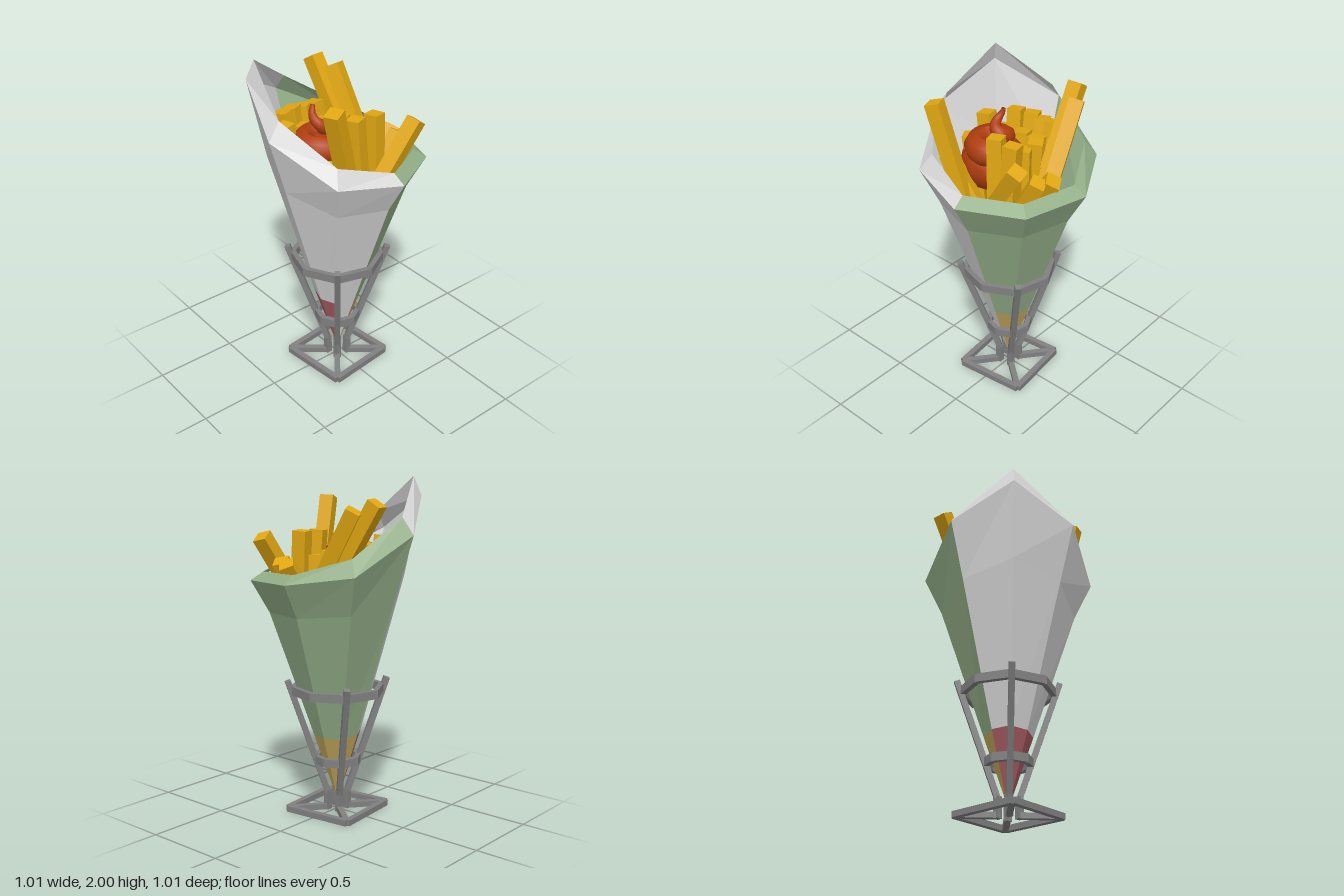
import * as THREE from 'three';

const mat = (name, color, side = THREE.FrontSide) => {
  const m = new THREE.MeshStandardMaterial({ color, side });
  m.name = name;
  return m;
};

// Octagon corner k, slightly turned about the vertical axis
const TURN = -6.2 * Math.PI / 180;
const corner = (k, r, y) => {
  const a = k * Math.PI / 4 + TURN;
  return new THREE.Vector3(r * Math.cos(a), y, r * Math.sin(a));
};

// Square bar between two points
function bar(name, a, b, w, h, material) {
  const mesh = new THREE.Mesh(new THREE.BoxGeometry(w, h, a.distanceTo(b)), material);
  mesh.name = name;
  mesh.position.copy(a).add(b).multiplyScalar(0.5);
  mesh.lookAt(b);
  return mesh;
}

// Flat-sided strips of the paper cone: panels k, rings from..to
function paper(name, rings, panels, from, to, material) {
  const pos = [];
  for (const k of panels) {
    for (let i = from; i < to; i++) {
      const n = (k + 1) % 8;
      const a = rings[i][n], b = rings[i][k], c = rings[i + 1][k], d = rings[i + 1][n];
      for (const p of [a, b, c, a, c, d]) pos.push(p.x, p.y, p.z);
    }
  }
  const g = new THREE.BufferGeometry();
  g.setAttribute('position', new THREE.Float32BufferAttribute(pos, 3));
  g.computeVertexNormals();
  const mesh = new THREE.Mesh(g, material);
  mesh.name = name;
  return mesh;
}

// Tapering spiral for the top of the sauce
function swirlGeometry() {
  const pts = [];
  for (let i = 0; i <= 16; i++) {
    const t = i / 16, a = 0.6 + t * Math.PI * 3.2, r = 0.115 * (1 - t);
    pts.push(new THREE.Vector3(-0.13 + r * Math.cos(a) + 0.02 * t, 1.53 + 0.19 * t * t + 0.02 * t, -0.01 + r * Math.sin(a) - 0.07 * t * t));
  }
  const curve = new THREE.CatmullRomCurve3(pts);
  const seg = 48, sides = 8;
  const g = new THREE.TubeGeometry(curve, seg, 0.08, sides);
  const p = g.attributes.position, v = new THREE.Vector3();
  for (let i = 0; i < p.count; i++) {
    const t = Math.floor(i / (sides + 1)) / seg;
    const c = curve.getPointAt(t);
    v.fromBufferAttribute(p, i).sub(c).multiplyScalar(1 - 0.85 * t * t).add(c);
    p.setXYZ(i, v.x, v.y, v.z);
  }
  g.computeVertexNormals();
  return g;
}

export function createModel() {
  const root = new THREE.Group();
  root.name = 'friesInCone';
  const green = mat('green paper', 0x93ae88, THREE.DoubleSide);
  const white = mat('white paper', 0xd8d8d8, THREE.DoubleSide);
  const tan = mat('tan paper', 0xc0a45a, THREE.DoubleSide);
  const red = mat('red paper', 0xa85c62, THREE.DoubleSide);
  const metal = mat('grey metal', 0x808080);
  const potato = mat('golden potato', 0xe0a712);
  const sauceRed = mat('red sauce', 0xb03e10, THREE.DoubleSide);

  // Paper cone: rim rises to a peak at one back corner, lip folds inward
  const rimY = [1.42, 1.41, 1.42, 1.47, 1.68, 1.885, 1.68, 1.47];
  const lipY = [1.47, 1.46, 1.47, 1.565, 1.78, 2.0, 1.78, 1.565];
  const ring = (f) => rimY.map((y, k) => f(k, y));
  const rings = [
    ring((k) => corner(k, 0.015, 0.1)),
    ring((k, y) => corner(k, 0.142, 0.47 + (y - 1.41) * 0.05)),
    ring((k, y) => corner(k, 0.4, 1.22 + (y - 1.41) * 0.42)),
    ring((k, y) => corner(k, k === 5 ? 0.498 : 0.508, y)),
    ring((k) => corner(k, k === 5 ? 0.45 : 0.433, lipY[k])),
  ];
  const cone = new THREE.Group();
  cone.name = 'paperCone';
  cone.add(
    paper('greenSide', rings, [6, 7, 0, 1], 1, 4, green),
    paper('whiteSide', rings, [2, 3, 4, 5], 1, 4, white),
    paper('tanTip', rings, [6, 7, 0, 1], 0, 1, tan),
    paper('redTip', rings, [3, 4, 5], 0, 1, red),
    paper('whiteTip', rings, [2], 0, 1, white),
  );
  root.add(cone);

  // Metal stand: square base, four bent legs, two octagonal hoops
  const stand = new THREE.Group();
  stand.name = 'stand';
  for (let k = 1; k < 8; k += 2) {
    stand.add(bar('baseEdge', corner(k, 0.3, 0.0175), corner(k + 2, 0.3, 0.0175), 0.035, 0.035, metal));
    stand.add(bar('baseSpoke', corner(k, 0.3, 0.0175), corner(k, 0.05, 0.0175), 0.035, 0.034, metal));
    stand.add(bar('legFoot', corner(k, 0.06, 0), corner(k, 0.06, 0.125), 0.035, 0.035, metal));
    stand.add(bar('leg', corner(k, 0.06, 0.11), corner(k, 0.3, 0.81), 0.035, 0.035, metal));
  }
  for (const [r, y] of [[0.268, 0.75], [0.13, 0.32]]) {
    for (let k = 0; k < 8; k++) {
      stand.add(bar('hoop', corner(k, r, y), corner(k + 1, r, y), 0.03, 0.05, metal));
    }
  }
  root.add(stand);

  // Fries: top x, y, z then bottom x, y, z
  const fries = [
    [0.15, 1.86, -0.41, 0.19, 1.2, 0.0],
    [0.225, 1.82, -0.31, 0.26, 1.2, 0.04],
    [-0.27, 1.87, 0.305, -0.06, 1.1, 0.24],
    [0.32, 1.66, 0.3, 0.01, 1.2, 0.25],
    [0.37, 1.52, 0.06, 0.17, 1.25, 0.06],
    [0.33, 1.53, 0.14, 0.15, 1.2, 0.15],
    [0.02, 1.69, 0.13, 0.05, 1.1, 0.16],
    [0.15, 1.69, 0.14, 0.13, 1.1, 0.18],
    [0.11, 1.6, -0.1, 0.08, 1.1, -0.07],
    [0.09, 1.58, -0.02, 0.1, 1.1, 0.0],
    [0.08, 1.55, 0.08, 0.1, 1.1, 0.07],
    [0.07, 1.63, -0.31, 0.08, 1.1, -0.2],
    [-0.01, 1.63, -0.31, 0.02, 1.1, -0.2],
    [-0.09, 1.64, -0.31, -0.06, 1.1, -0.22],
    [-0.18, 1.65, -0.27, -0.13, 1.1, -0.18],
    [-0.28, 1.65, -0.12, -0.2, 1.1, -0.1],
    [-0.27, 1.57, 0.03, -0.2, 1.1, 0.03],
    [-0.23, 1.56, -0.18, -0.17, 1.1, -0.14],
    [-0.08, 1.56, -0.21, -0.06, 1.1, -0.15],
    [0.04, 1.57, -0.19, 0.03, 1.1, -0.13],
    [-0.27, 1.52, 0.22, -0.03, 1.2, 0.2],
  ];
  const friesGroup = new THREE.Group();
  friesGroup.name = 'fries';
  fries.forEach(([tx, ty, tz, bx, by, bz], i) => {
    const fry = new THREE.Group();
    fry.name = 'fry';
    const top = new THREE.Vector3(tx, ty, tz), bottom = new THREE.Vector3(bx, by, bz);
    const stick = new THREE.Mesh(new THREE.BoxGeometry(0.085, top.distanceTo(bottom), 0.085), potato);
    stick.name = 'fryStick';
    stick.rotation.y = 0.15 + (i * 0.37) % 0.5;
    fry.position.copy(top).add(bottom).multiplyScalar(0.5);
    fry.quaternion.setFromUnitVectors(new THREE.Vector3(0, 1, 0), top.clone().sub(bottom).normalize());
    fry.add(stick);
    friesGroup.add(fry);
  });
  root.add(friesGroup);

  // Sauce: round dollop with a swirl leaning to its tip
  const sauce = new THREE.Group();
  sauce.name = 'sauce';
  const dollop = new THREE.Mesh(new THREE.SphereGeometry(0.195, 12, 8), sauceRed);
  dollop.name = 'dollop';
  dollop.scale.y = 0.85;
  dollop.position.set(-0.135, 1.42, -0.02);
  const swirl = new THREE.Mesh(swirlGeometry(), sauceRed);
  swirl.name = 'swirl';
  sauce.add(dollop, swirl);
  root.add(sauce);

  return root;
}
